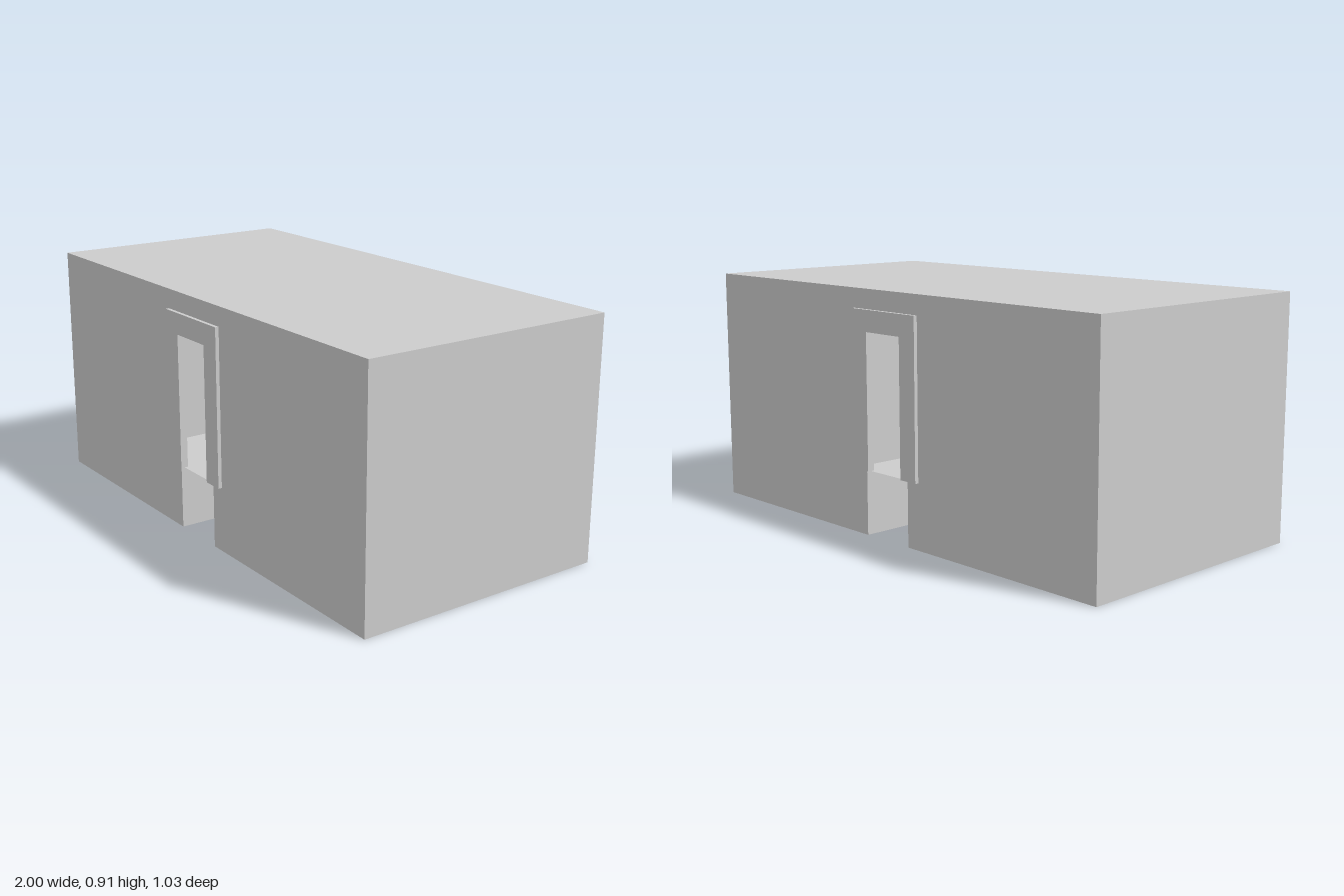
import * as THREE from 'three';

const H = 0.908;          // building height
const D = 0.5;            // half depth
const STEP = 0.245;       // passage ceiling and indoor walkway level
const CH = 0.113;         // half width of the passage
const DOOR = 0.09;        // half width of the doorway
const DOOR_TOP = 0.755;

const material = new THREE.MeshStandardMaterial({ color: 0xcccccc, side: THREE.DoubleSide, flatShading: true });

function addMesh(parent, name, geometry) {
  const mesh = new THREE.Mesh(geometry, material);
  mesh.name = name;
  parent.add(mesh);
  return mesh;
}

function shapeFrom(points) {
  return new THREE.Shape(points.map(([x, y]) => new THREE.Vector2(x, y)));
}

// Thin skin that sweeps a closed profile from front to back
function skin(profile) {
  const pos = [];
  profile.forEach(([ax, ay], i) => {
    const [bx, by] = profile[(i + 1) % profile.length];
    pos.push(ax, ay, D, ax, ay, -D, bx, by, -D);
    pos.push(ax, ay, D, bx, by, -D, bx, by, D);
  });
  const g = new THREE.BufferGeometry();
  g.setAttribute('position', new THREE.Float32BufferAttribute(pos, 3));
  g.computeVertexNormals();
  return g;
}

export function createModel() {
  const model = new THREE.Group();
  model.name = 'building';

  // Roof, side walls, floors and the low passage running underneath
  addMesh(model, 'roofSidesAndFloor', skin([
    [-1, 0], [-CH, 0], [-CH, STEP], [CH, STEP], [CH, 0], [1, 0], [1, H], [-1, H],
  ]));

  // End wall with the passage notch and the doorway above it
  const wall = new THREE.ShapeGeometry(shapeFrom([
    [-1, 0], [-CH, 0], [-CH, STEP], [-DOOR, STEP], [-DOOR, DOOR_TOP],
    [DOOR, DOOR_TOP], [DOOR, STEP], [CH, STEP], [CH, 0], [1, 0], [1, H], [-1, H],
  ]));

  // Door surround, straddling the thin wall
  const frame = new THREE.ExtrudeGeometry(shapeFrom([
    [-0.17, STEP], [-DOOR, STEP], [-DOOR, DOOR_TOP], [DOOR, DOOR_TOP],
    [DOOR, STEP], [0.17, STEP], [0.17, 0.835], [-0.17, 0.835],
  ]), { depth: 0.028, bevelEnabled: false });
  frame.translate(0, 0, -0.014);

  // Same wall and surround at the front and the back
  for (const [side, angle] of [['front', 0], ['back', Math.PI]]) {
    const end = new THREE.Group();
    end.name = side + 'End';
    addMesh(end, side + 'Wall', wall).position.z = D;
    addMesh(end, side + 'DoorFrame', frame).position.z = D;
    end.rotation.y = angle;
    model.add(end);
  }
  return model;
}
